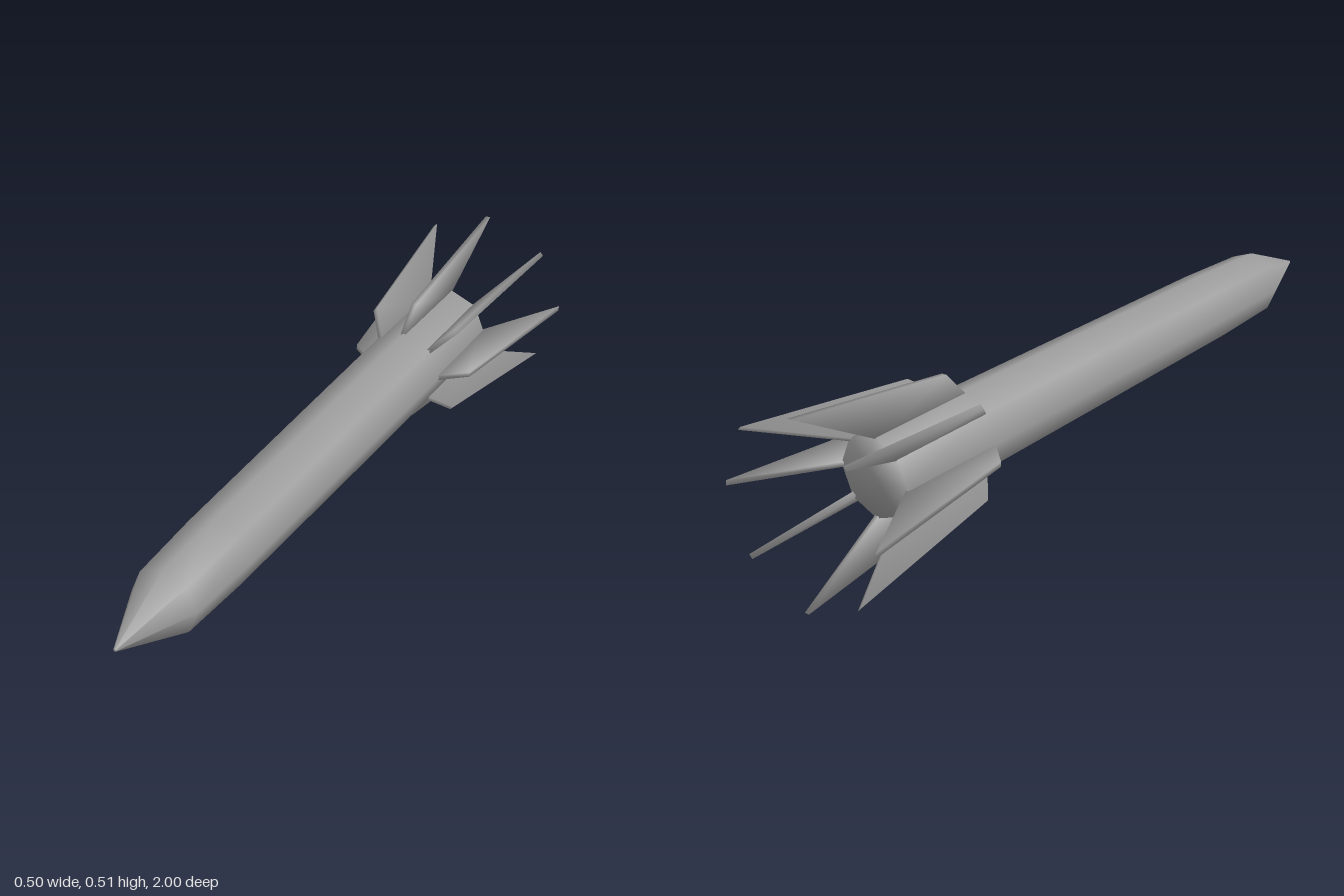
import * as THREE from 'three';
import { mergeVertices } from 'three/addons/utils/BufferGeometryUtils.js';

const AXIS = [0.001, 0.2575, 0]; // centre line of the body
const THICKNESS = 0.014;         // of each fin

// root and tip of every fin seen along the body: [rootX, rootY, tipX, tipY]
const FINS = [
  [0.111, 0.257, 0.249, 0.2585],
  [0.081, 0.336, 0.183, 0.424],
  [-0.002, 0.368, 0.0045, 0.505],
  [-0.074, 0.336, -0.167, 0.440],
  [-0.108, 0.2515, -0.249, 0.2515],
  [-0.074, 0.179, -0.183, 0.083],
  [0, 0.147, -0.004, 0],
  [0.078, 0.183, 0.182, 0.083],
];

// weld corners and shade softly, every face at a corner counting by its angle
function softShaded(source) {
  source.deleteAttribute('normal');
  source.deleteAttribute('uv');
  const geometry = mergeVertices(source, 1e-5);
  const { position } = geometry.attributes;
  const index = geometry.index.array;
  const normals = Array.from({ length: position.count }, () => new THREE.Vector3());
  for (let i = 0; i < index.length; i += 3) {
    const ids = [index[i], index[i + 1], index[i + 2]];
    const corners = ids.map((id) => new THREE.Vector3().fromBufferAttribute(position, id));
    const faceNormal = new THREE.Triangle(...corners).getNormal(new THREE.Vector3());
    ids.forEach((id, k) => {
      const a = corners[(k + 1) % 3].clone().sub(corners[k]);
      const b = corners[(k + 2) % 3].clone().sub(corners[k]);
      normals[id].addScaledVector(faceNormal, a.angleTo(b));
    });
  }
  const values = normals.flatMap((n) => n.normalize().toArray());
  geometry.setAttribute('normal', new THREE.Float32BufferAttribute(values, 3));
  return geometry;
}

// swept fin: drawn as (outward, z), then turned to point from root to tip
function finGeometry([rootX, rootY, tipX, tipY]) {
  const out = new THREE.Vector3(tipX - rootX, tipY - rootY, 0);
  const length = out.length();
  out.normalize();
  const along = new THREE.Vector3(0, 0, 1);
  const side = new THREE.Vector3().crossVectors(out, along);

  const shape = new THREE.Shape([
    [-0.01, -0.75], [length, -1], [length * 0.5, -0.51], [-0.01, -0.443],
  ].map(([u, z]) => new THREE.Vector2(u, z)));

  const geometry = new THREE.ExtrudeGeometry(shape, { depth: THICKNESS, bevelEnabled: false });
  geometry.translate(0, 0, -THICKNESS / 2);
  geometry.applyMatrix4(new THREE.Matrix4().makeBasis(out, along, side).setPosition(rootX, rootY, 0));
  return softShaded(geometry);
}

export function createModel() {
  const model = new THREE.Group();
  model.name = 'rocket';
  const material = new THREE.MeshStandardMaterial({ color: 0x9c9c9c });

  // eight-sided body with pointed nose and flat tail, softly shaded
  const profile = [
    [0, -0.757], [0.112, -0.757], [0.112, -0.45], [0.107, 0],
    [0.1, 0.57], [0.091, 0.795], [0.004, 1], [0, 1],
  ].map(([r, z]) => new THREE.Vector2(r, z));
  const bodyGeometry = new THREE.LatheGeometry(profile, 8);
  bodyGeometry.rotateX(Math.PI / 2);
  const body = new THREE.Mesh(bodyGeometry, material);
  body.name = 'body';
  body.position.set(...AXIS);
  model.add(body);

  // ring of tail fins
  const fins = new THREE.Group();
  fins.name = 'tailFins';
  FINS.forEach((fin, i) => {
    const mesh = new THREE.Mesh(finGeometry(fin), material);
    mesh.name = `fin${i + 1}`;
    fins.add(mesh);
  });
  model.add(fins);

  return model;
}
